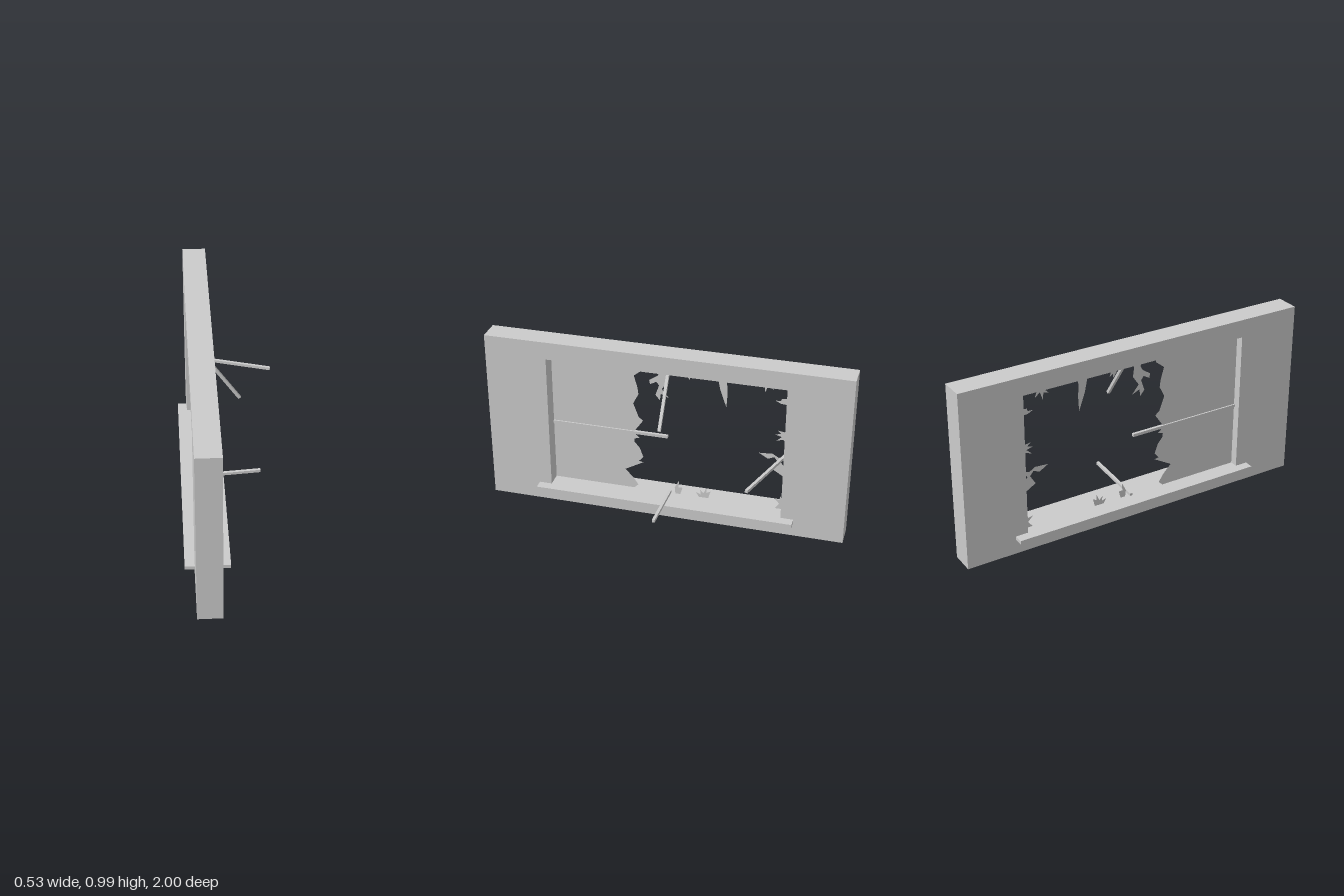
import * as THREE from 'three';

const mat = new THREE.MeshStandardMaterial({ color: 0xcccccc, flatShading: true });
const glassMat = new THREE.MeshStandardMaterial({ color: 0xcccccc, flatShading: true, side: THREE.DoubleSide });

const GLASS_X = -0.17, TOP = 0.885, BOTTOM = 0.1, SIDE = 0.655;

// Outline points are [z, y]; the sheet lies in the plane of the window.
function sheet(name, points) {
  const shape = new THREE.Shape(points.map(([z, y]) => new THREE.Vector2(-z, y)));
  const mesh = new THREE.Mesh(new THREE.ShapeGeometry(shape), glassMat);
  mesh.rotation.y = Math.PI / 2;
  mesh.position.x = GLASS_X;
  mesh.name = name;
  return mesh;
}

// Square glazing bar between two points.
function bar(name, a, b) {
  const from = new THREE.Vector3(...a), to = new THREE.Vector3(...b);
  const mesh = new THREE.Mesh(new THREE.BoxGeometry(0.016, 0.016, from.distanceTo(to)), mat);
  mesh.position.copy(from).lerp(to, 0.5);
  mesh.lookAt(to);
  mesh.name = name;
  return mesh;
}

export function createModel() {
  const model = new THREE.Group();
  model.name = 'brokenWindow';

  // Wall with the rectangular opening
  const outline = new THREE.Shape([[-1, 0], [1, 0], [1, 0.985], [-1, 0.985]].map(p => new THREE.Vector2(...p)));
  outline.holes.push(new THREE.Path(
    [[-SIDE, BOTTOM], [-SIDE, TOP], [SIDE, TOP], [SIDE, BOTTOM]].map(p => new THREE.Vector2(...p))));
  const wall = new THREE.Mesh(new THREE.ExtrudeGeometry(outline, { depth: 0.13, bevelEnabled: false }), mat);
  wall.rotation.y = Math.PI / 2;
  wall.position.x = -0.214;
  wall.name = 'wall';
  model.add(wall);

  // Sill running through the wall
  const sill = new THREE.Mesh(new THREE.BoxGeometry(0.235, 0.02, 1.45), mat);
  sill.position.set(-0.148, 0.092, 0);
  sill.name = 'sill';
  model.add(sill);

  // Remaining pane with its jagged edge
  model.add(sheet('brokenPane', [
    [SIDE, BOTTOM], [SIDE, TOP], [0.14, TOP], [0.14, 0.85], [0.19, 0.81], [0.17, 0.74], [0.165, 0.7],
    [0.195, 0.64], [0.165, 0.56], [0.14, 0.54], [0.195, 0.46], [0.16, 0.43], [0.19, 0.42], [0.19, 0.4],
    [0.16, 0.365], [0.14, 0.31], [0.165, 0.28], [0.14, 0.275], [0.245, 0.215], [0.2, 0.17],
    [0.17, 0.125], [0.195, BOTTOM],
  ]));

  // Shards still held by the frame
  const shards = new THREE.Group();
  shards.name = 'shards';
  const top = [
    [[0.06, TOP], [0.045, 0.85], [0.06, 0.825], [0.105, 0.795], [0.1, 0.77], [0.065, 0.79], [0.05, 0.77],
      [0.07, 0.71], [0.045, 0.68], [0.04, 0.72], [-0.005, 0.7], [0.035, 0.75], [0, 0.8], [0.01, TOP]],
    [[-0.09, TOP], [-0.1, 0.85], [-0.12, 0.825], [-0.12, 0.85], [-0.14, 0.835], [-0.13, 0.87], [-0.145, TOP]],
    [[-0.265, TOP], [-0.285, 0.79], [-0.32, 0.69], [-0.325, 0.78], [-0.32, 0.835], [-0.33, TOP]],
    [[-0.5, TOP], [-0.51, 0.86], [-0.49, 0.84], [-0.52, 0.85], [-0.525, 0.81], [-0.54, 0.855],
      [-0.57, 0.83], [-0.555, 0.87], [-0.575, TOP]],
  ];
  const side = [
    [[-SIDE, 0.79], [-0.615, 0.785], [-0.61, 0.77], [-0.58, 0.77], [-0.61, 0.755], [-SIDE, 0.75]],
    [[-SIDE, 0.585], [-0.6, 0.592], [-0.62, 0.575], [-0.59, 0.565], [-0.625, 0.555], [-0.595, 0.527],
      [-0.63, 0.54], [-SIDE, 0.52]],
    [[-SIDE, 0.44], [-0.615, 0.425], [-0.58, 0.445], [-0.505, 0.44], [-0.555, 0.41], [-0.59, 0.425],
      [-0.61, 0.4], [-0.58, 0.35], [-SIDE, 0.305], [-SIDE, 0.365], [-0.625, 0.4]],
  ];
  const bottom = [
    [[-0.045, BOTTOM], [-0.04, 0.14], [-0.065, 0.19], [-0.062, 0.145], [-0.085, 0.145], [-0.072, BOTTOM]],
    [[-0.18, BOTTOM], [-0.163, 0.13], [-0.19, 0.12], [-0.185, 0.15], [-0.205, 0.13], [-0.222, 0.168],
      [-0.222, 0.135], [-0.245, 0.148], [-0.232, BOTTOM]],
    [[-0.605, BOTTOM], [-0.63, 0.135], [-0.6, 0.165], [-0.63, 0.158], [-0.635, 0.185], [-SIDE, 0.14], [-SIDE, BOTTOM]],
  ];
  top.forEach(p => shards.add(sheet('topShard', p)));
  side.forEach(p => shards.add(sheet('sideShard', p)));
  bottom.forEach(p => shards.add(sheet('bottomShard', p)));
  model.add(shards);

  // One intact glazing bar and three bent-out ones
  model.add(
    bar('paneBar', [GLASS_X, 0.462, 0.66], [GLASS_X, 0.462, 0]),
    bar('upperBentBar', [-0.14, 0.9, -0.012], [0.055, 0.62, -0.012]),
    bar('sideBentBar', [-0.18, 0.462, -0.668], [0.26, 0.462, -0.527]),
    bar('lowerBentBar', [-0.18, 0.108, -0.012], [0.172, 0.132, -0.012]),
  );
  return model;
}
